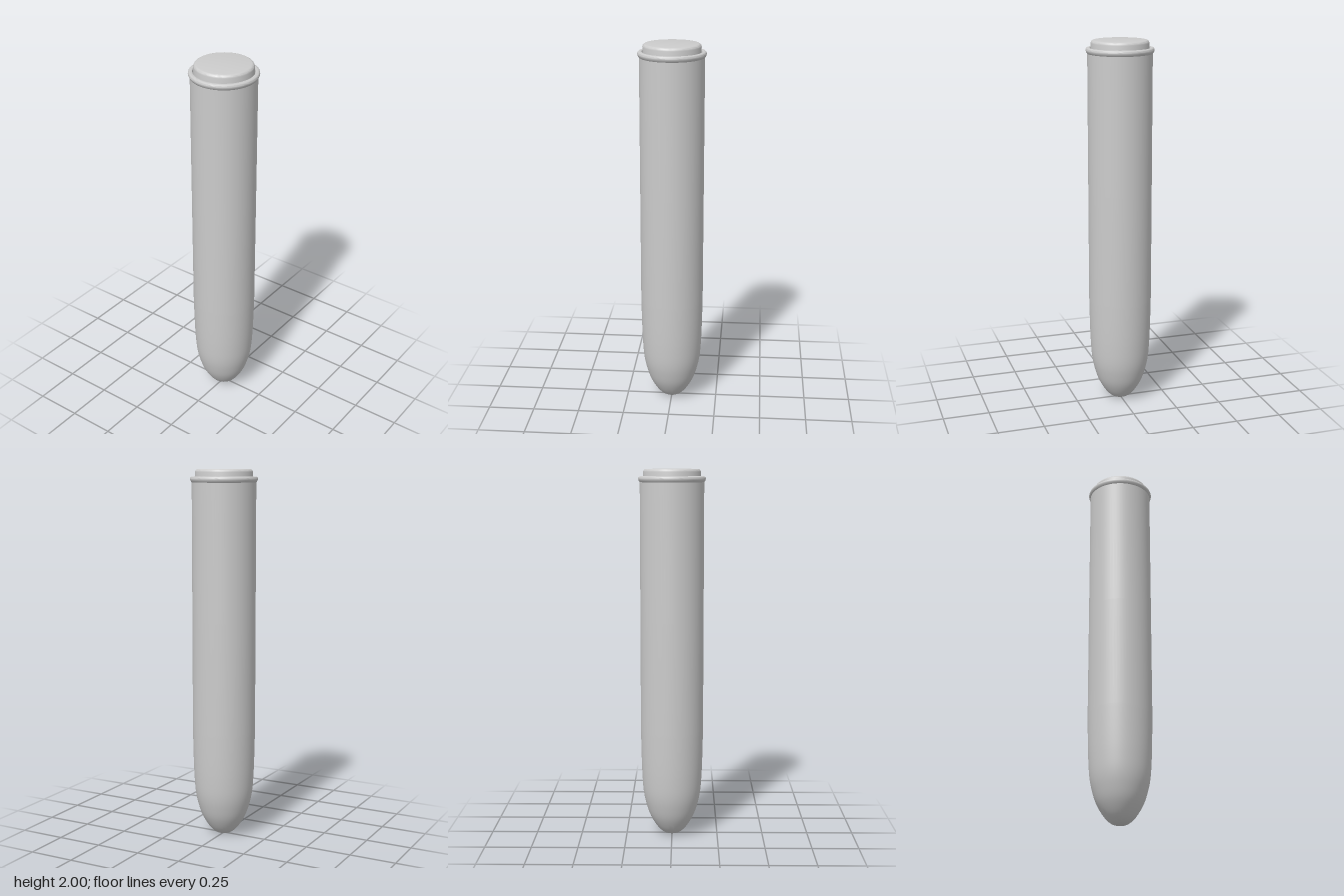
import * as THREE from 'three';
import { toCreasedNormals } from 'three/addons/utils/BufferGeometryUtils.js';

const SEGMENTS = 64;
const material = new THREE.MeshStandardMaterial({ color: 0xcccccc, side: THREE.DoubleSide });

const points = (pairs) => pairs.map(([r, y]) => new THREE.Vector2(r, y));

// Revolved part; edges sharper than the crease angle stay crisp
function turned(name, profile) {
  const geometry = toCreasedNormals(new THREE.LatheGeometry(profile, SEGMENTS), 0.7);
  const mesh = new THREE.Mesh(geometry, material);
  mesh.name = name;
  return mesh;
}

export function createModel() {
  const group = new THREE.Group();
  group.name = 'stopperedTube';

  // Rounded tip swelling gradually into the straight wall
  const tip = new THREE.SplineCurve(points([
    [0, 0.005], [0.04, 0.013], [0.078, 0.045], [0.118, 0.11], [0.142, 0.18],
    [0.156, 0.25], [0.163, 0.34], [0.167, 0.45], [0.17, 0.6],
  ])).getPoints(40);
  tip[0].x = 0;
  group.add(turned('tubeBody', [...tip, ...points([[0.17, 1.2], [0.17, 1.935]])]));

  // Rolled lip around the mouth, turning into the inner wall
  group.add(turned('lip', points([
    [0.169, 1.93], [0.173, 1.934], [0.177, 1.942], [0.179, 1.95], [0.177, 1.956],
    [0.173, 1.96], [0.165, 1.962], [0.157, 1.96], [0.154, 1.954], [0.154, 1.86],
  ])));

  // Stopper seated in the mouth, with a softened top edge
  group.add(turned('stopper', points([
    [0, 1.86], [0.152, 1.86], [0.152, 1.984], [0.1505, 1.991], [0.147, 1.996],
    [0.142, 1.999], [0.136, 2], [0, 2],
  ])));

  return group;
}
